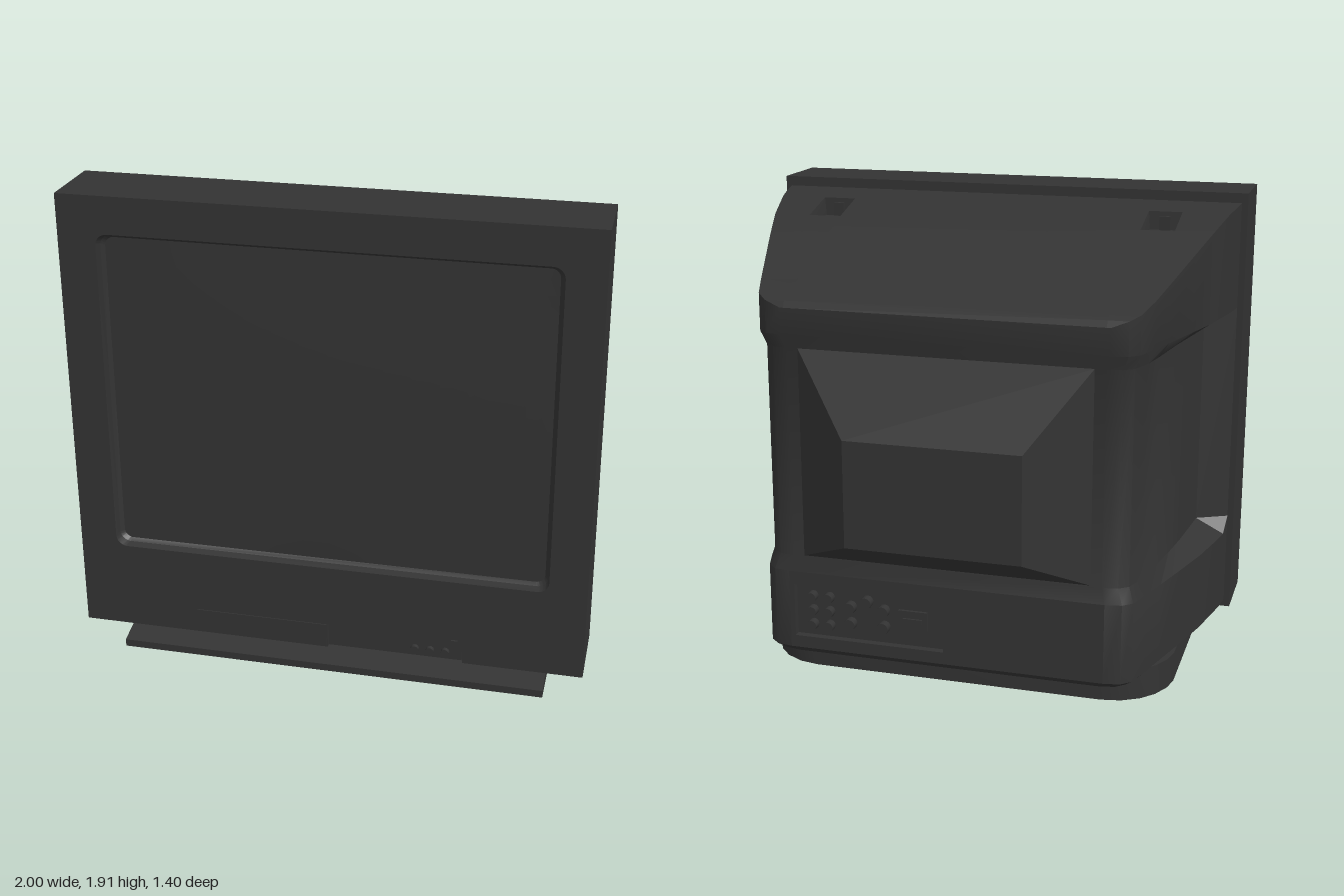
import * as THREE from 'three';
import { toCreasedNormals } from 'three/addons/utils/BufferGeometryUtils.js';

const plastic = new THREE.MeshStandardMaterial({ color: 0x333333, side: THREE.DoubleSide });
const V = (x, y, z) => new THREE.Vector3(x, y, z);

export function createModel() {
  const tv = new THREE.Group();
  tv.name = 'television';

  const add = (name, geo, x = 0, y = 0, z = 0) => {
    const m = new THREE.Mesh(geo, plastic);
    m.name = name;
    m.position.set(x, y, z);
    tv.add(m);
    return m;
  };
  const box = (name, x0, x1, y0, y1, z0, z1) =>
    add(name, new THREE.BoxGeometry(x1 - x0, y1 - y0, z1 - z0), (x0 + x1) / 2, (y0 + y1) / 2, (z0 + z1) / 2);

  // Surface through rows of points; skip(i, j) leaves cells open
  function loft(rows, crease = 0.6, skip = () => false) {
    const pos = [];
    const tri = (a, b, c) => {
      const area = b.clone().sub(a).cross(c.clone().sub(a)).length();
      if (area > 1e-8) for (const p of [a, b, c]) pos.push(p.x, p.y, p.z);
    };
    for (let i = 0; i < rows.length - 1; i++)
      for (let j = 0; j < rows[i].length - 1; j++) {
        if (skip(i, j)) continue;
        const a = rows[i][j], b = rows[i][j + 1], c = rows[i + 1][j + 1], d = rows[i + 1][j];
        tri(a, b, c);
        tri(a, c, d);
      }
    const g = new THREE.BufferGeometry();
    g.setAttribute('position', new THREE.Float32BufferAttribute(pos, 3));
    return toCreasedNormals(g, crease);
  }

  // Rounded rectangle as a path of points
  function roundRect(Type, x0, x1, y0, y1, r) {
    const s = new Type();
    s.absarc(x1 - r, y1 - r, r, 0, Math.PI / 2);
    s.absarc(x0 + r, y1 - r, r, Math.PI / 2, Math.PI);
    s.absarc(x0 + r, y0 + r, r, Math.PI, Math.PI * 1.5);
    s.absarc(x1 - r, y0 + r, r, Math.PI * 1.5, Math.PI * 2);
    s.closePath();
    return s;
  }
  const polygon = (pts) => new THREE.Shape(pts.map(([x, y]) => new THREE.Vector2(x, y)));
  const extrude = (shape, depth) => new THREE.ExtrudeGeometry(shape, { depth, bevelEnabled: false, curveSegments: 6 });

  // Front frame: solid back half, front layer with screen opening and control notch
  box('bezelBack', -1, 1, 0.12, 1.91, 0.4, 0.64);
  const face = polygon([[-1, 0.12], [0, 0.12], [0, 0.225], [0.53, 0.225], [0.535, 0.12], [1, 0.12], [1, 1.91], [-1, 1.91]]);
  face.holes.push(roundRect(THREE.Path, -0.855, 0.855, 0.475, 1.765, 0.045));
  add('bezelFront', extrude(face, 0.06), 0, 0, 0.64);

  // Sloped lip around the screen
  const lip = (w, y0, y1, r, z) =>
    roundRect(THREE.Shape, -w, w, y0, y1, r).getPoints(6).map((p) => V(p.x, p.y, z));
  add('screenLip', loft([lip(0.855, 0.475, 1.765, 0.045, 0.7), lip(0.848, 0.482, 1.755, 0.042, 0.67),
    lip(0.835, 0.492, 1.743, 0.035, 0.655)], 0.3));

  // Slightly domed picture tube face
  const glass = new THREE.PlaneGeometry(1.68, 1.26, 16, 12);
  const gp = glass.attributes.position;
  for (let i = 0; i < gp.count; i++)
    gp.setZ(i, 0.012 * (1 - (gp.getX(i) / 0.84) ** 2) * (1 - (gp.getY(i) / 0.63) ** 2));
  glass.computeVertexNormals();
  add('screen', glass, 0, 1.1175, 0.655);

  // Control door and button panel
  add('controlDoor', extrude(polygon([[-0.545, 0.123], [-0.004, 0.123], [-0.004, 0.222], [-0.533, 0.222]]), 0.01), 0, 0, 0.694);
  box('controlPanel', 0, 0.53, 0.12, 0.215, 0.64, 0.682);
  for (const x of [0.345, 0.405, 0.465])
    add('controlButton', new THREE.CylinderGeometry(0.015, 0.017, 0.016, 16).rotateX(Math.PI / 2), x, 0.152, 0.688);
  box('indicator', 0.487, 0.513, 0.19, 0.208, 0.68, 0.69);

  // Rear shell stations, front to back: z, half width, roof height, recessed half width, recessed z
  const st = [
    [0.4, 0.975, 1.87, 0.975, 0.4], [0.335, 0.967, 1.862, 0.85, 0.335],
    [0.24, 0.95, 1.848, 0.842, 0.24], [0.06, 0.912, 1.8, 0.825, 0.06],
    [-0.1, 0.868, 1.742, 0.805, -0.1], [-0.3, 0.81, 1.665, 0.775, -0.3],
    [-0.42, 0.775, 1.62, 0.753, -0.42], [-0.52, 0.742, 1.588, 0.722, -0.505],
    [-0.553, 0.705, 1.57, 0.685, -0.535], [-0.565, 0.64, 1.545, 0.625, -0.545]];
  const ring = (f) => {
    const left = st.map(f);
    return [...left, ...left.map((p) => V(-p.x, p.y, p.z)).reverse()];
  };
  const outer = (y) => ring((s) => V(s[1], y, s[0]));
  const inner = (y) => ring((s) => V(s[3], y, s[4]));
  const floor = ring((s) => V(s[1] - 0.025, 0.125, s[0] < -0.5 ? s[0] + 0.025 : s[0]));
  const n = st.length;
  add('rearShell', loft([floor, outer(0.15), outer(0.475), inner(0.535), inner(1.385), outer(1.44),
    ring((s) => V(s[1], s[2], s[0]))], 0.55, (i, j) => i === 1 && j === n - 1));
  add('shellFloor', loft(st.map((s, i) => [floor[i], floor[2 * n - 1 - i]])));

  // Roof, open at the two grip pockets
  add('shellRoof', loft(st.map((s) => [-s[1], -0.76, -0.625, 0.625, 0.76, s[1]].map((x) =>
    V(THREE.MathUtils.clamp(x, -s[1], s[1]), s[2], s[0]))), 0.55, (i, j) => i === 2 && (j === 1 || j === 3)));
  for (const side of [-1, 1]) {
    const cx = side * 0.6925;
    const rim = (w, z0, y0, z1, y1) => [V(cx - w, y0, z0), V(cx + w, y0, z0), V(cx + w, y1, z1), V(cx - w, y1, z1), V(cx - w, y0, z0)];
    add('gripPocket', loft([rim(0.0675, 0.24, 1.848, 0.06, 1.8), rim(0.06, 0.235, 1.775, 0.07, 1.775),
      rim(0, 0.15, 1.775, 0.15, 1.775)], 0.3));
    box('gripCatch', cx - 0.022, cx + 0.022, 1.775, 1.83, 0.222, 0.238);
  }

  // Tube housing bulging from the back
  const frame = (w, y0, y1, z) => [V(w, y0, z), V(-w, y0, z), V(-w, y1, z), V(w, y1, z), V(w, y0, z)];
  add('tubeHousing', loft([frame(0.58, 0.54, 1.385, -0.545), frame(0.35, 0.65, 1.08, -0.7),
    frame(0, 0.86, 0.86, -0.7)], 0.2));

  // Lower back wall with sunken connector bay
  const wall = polygon([[-0.64, 0.15], [0.64, 0.15], [0.64, 0.475], [-0.64, 0.475]]);
  wall.holes.push(new THREE.Path([[0, 0.2], [0, 0.42], [0.62, 0.42], [0.62, 0.2]].map(([x, y]) => new THREE.Vector2(x, y))));
  add('connectorWall', extrude(wall, 0.035), 0, 0, -0.565);
  box('connectorPlate', -0.01, 0.63, 0.19, 0.43, -0.535, -0.52);
  box('connectorSocket', 0.07, 0.19, 0.27, 0.35, -0.547, -0.53);
  box('socketTongue', 0.09, 0.17, 0.3, 0.32, -0.555, -0.54);
  const jack = (x, y, r) =>
    add('jack', new THREE.CylinderGeometry(r, r, 0.038, 14).rotateX(Math.PI / 2), x, y, -0.551);
  for (const x of [0.48, 0.55]) for (const y of [0.25, 0.31, 0.37]) jack(x, y, 0.021);
  for (const [x, y] of [[0.25, 0.27], [0.25, 0.34], [0.32, 0.37], [0.39, 0.34], [0.39, 0.27]]) jack(x, y, 0.024);

  // Stand: block with rounded rear corners and a front foot
  const half = [[0.85, 0.57], [0.85, -0.15], [0.835, -0.22], [0.8, -0.29], [0.75, -0.345], [0.68, -0.385], [0.6, -0.4]];
  const plan = [...half, ...half.map(([x, z]) => [-x, z]).reverse()].map(([x, z]) => [x, -z]);
  add('standBlock', toCreasedNormals(extrude(polygon(plan), 0.125).rotateX(-Math.PI / 2), 0.6));
  add('standFoot', extrude(polygon([[0.56, 0], [0.69, 0], [0.69, 0.03], [0.57, 0.055], [0.56, 0.055]]), 1.7)
    .rotateY(-Math.PI / 2), 0.85);

  return tv;
}
